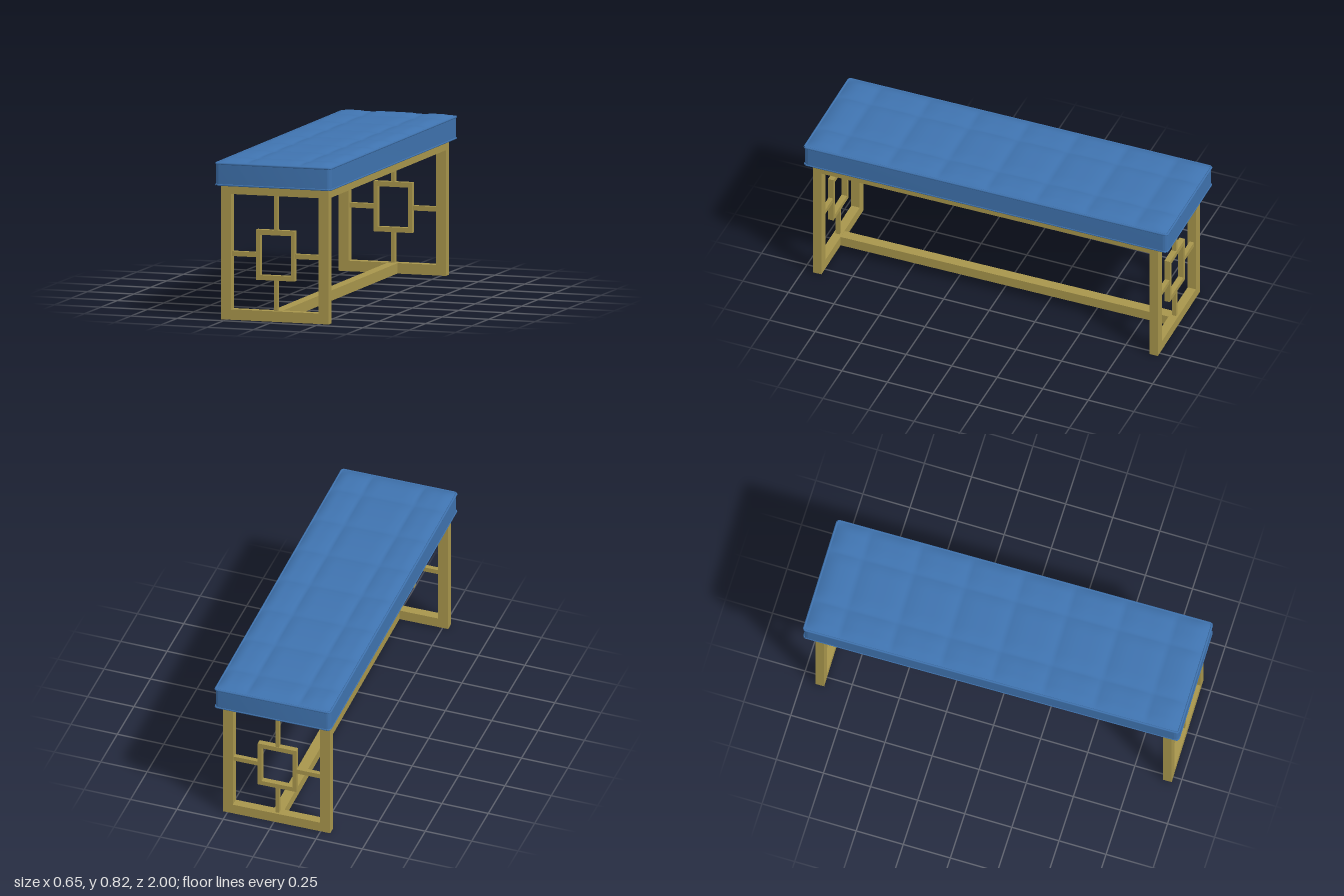
import * as THREE from 'three';
import { toCreasedNormals } from 'three/addons/utils/BufferGeometryUtils.js';

const fabric = new THREE.MeshStandardMaterial({ color: 0x3f73af });
fabric.name = 'blueFabric';
const brass = new THREE.MeshStandardMaterial({ color: 0xa8964c });
brass.name = 'brass';

function add(parent, name, geometry, material, x = 0, y = 0, z = 0) {
  const mesh = new THREE.Mesh(geometry, material);
  mesh.name = name;
  mesh.position.set(x, y, z);
  parent.add(mesh);
  return mesh;
}

const box = (w, h, d) => new THREE.BoxGeometry(w, h, d);

// Rectangle in XY with an opening, extruded and centred in z
function frameGeometry(w, y0, y1, side, bottom, top, depth) {
  const rect = (P, hw, a, b) => new P([[-hw, a], [hw, a], [hw, b], [-hw, b]].map(p => new THREE.Vector2(...p)));
  const shape = rect(THREE.Shape, w / 2, y0, y1);
  shape.holes.push(rect(THREE.Path, w / 2 - side, y0 + bottom, y1 - top));
  return new THREE.ExtrudeGeometry(shape, { depth, bevelEnabled: false }).translate(0, 0, -depth / 2);
}

// Rounded rectangle outline with half sizes hx, hz
function roundedRect(hx, hz, r) {
  const s = new THREE.Shape();
  s.absarc(hx - r, hz - r, r, 0, Math.PI / 2);
  s.absarc(-hx + r, hz - r, r, Math.PI / 2, Math.PI);
  s.absarc(-hx + r, -hz + r, r, Math.PI, Math.PI * 1.5);
  s.absarc(hx - r, -hz + r, r, Math.PI * 1.5, Math.PI * 2);
  s.closePath();
  return s;
}

// One end frame with its fretwork
function endFrame(name, z) {
  const g = new THREE.Group();
  g.name = name;
  g.position.z = z;
  add(g, 'endPanelFrame', frameGeometry(0.577, 0, 0.69, 0.054, 0.054, 0.045, 0.046), brass);
  add(g, 'centreRing', frameGeometry(0.207, 0.21, 0.468, 0.021, 0.025, 0.026, 0.03), brass);
  add(g, 'upperBar', box(0.019, 0.177, 0.024), brass, 0, 0.5565);
  add(g, 'lowerBar', box(0.019, 0.156, 0.024), brass, 0, 0.132);
  for (const s of [-1, 1]) add(g, 'sideBar', box(0.131, 0.025, 0.024), brass, s * 0.169, 0.338);
  return g;
}

// Tufted top: pillows between seams, falling off to the edges
function tuftedTop(hx, hz) {
  const geo = new THREE.PlaneGeometry(hx * 2, hz * 2, 62, 132).rotateX(-Math.PI / 2);
  const pos = geo.attributes.position;
  const puff = (d, reach) => {
    const t = Math.min(1, d / reach);
    return 1 - (1 - t) * (1 - t);
  };
  for (let i = 0; i < pos.count; i++) {
    const x = pos.getX(i), z = pos.getZ(i);
    const seamX = Math.abs(Math.abs(x) - 0.14);
    const row = THREE.MathUtils.clamp(Math.round(z / 0.27), -3, 3) * 0.27;
    const seamZ = Math.abs(z - row);
    const px = 0.45 + 0.55 * puff(seamX, 0.07);
    const pz = 0.45 + 0.55 * puff(seamZ, 0.1);
    const edge = puff(hx - Math.abs(x), 0.06) * puff(hz - Math.abs(z), 0.08);
    pos.setY(i, 0.805 + 0.019 * edge * px * pz);
  }
  geo.computeVertexNormals();
  return geo;
}

export function createModel() {
  const model = new THREE.Group();
  model.name = 'tuftedBench';
  model.rotation.y = 0.0118;

  // Metal base
  const base = new THREE.Group();
  base.name = 'base';
  base.position.set(-0.002, 0, 0.009);
  model.add(base);
  base.add(endFrame('frontEndFrame', 0.919), endFrame('backEndFrame', -0.919));
  add(base, 'floorStretcher', box(0.054, 0.053, 1.792), brass, 0, 0.0265);
  for (const s of [-1, 1]) {
    add(base, 'seatRail', box(0.05, 0.045, 1.792), brass, s * 0.2635, 0.6675);
    // Small fixings under the rails
    for (const e of [-1, 1]) {
      add(base, 'railFixing', new THREE.CylinderGeometry(0.011, 0.009, 0.006, 12), brass, s * 0.2635, 0.642, e * 0.75);
    }
  }

  // Cushion
  const cushion = new THREE.Group();
  cushion.name = 'cushion';
  model.add(cushion);
  const body = new THREE.ExtrudeGeometry(roundedRect(0.31, 0.993, 0.025), { depth: 0.113, bevelEnabled: false, curveSegments: 8 });
  body.rotateX(-Math.PI / 2);
  add(cushion, 'cushionBody', toCreasedNormals(body, 0.6), fabric, 0, 0.692);
  add(cushion, 'tuftedTop', tuftedTop(0.31, 0.99), fabric);

  // Piping around both edges
  for (const [name, y, r] of [['topPiping', 0.804, 0.006], ['bottomPiping', 0.695, 0.005]]) {
    const path = new THREE.CurvePath();
    const pts = roundedRect(0.308, 0.991, 0.012).getPoints(4).map(p => new THREE.Vector3(p.x, y, -p.y));
    pts.forEach((p, i) => {
      const q = pts[(i + 1) % pts.length];
      if (p.distanceTo(q) > 1e-5) path.add(new THREE.LineCurve3(p, q));
    });
    // Straight runs and rounded corners as short tubes
    const piping = new THREE.Group();
    piping.name = name;
    path.curves.forEach(c => add(piping, 'pipingRun', new THREE.TubeGeometry(c, 1, r, 8), fabric));
    cushion.add(piping);
  }
  return model;
}
